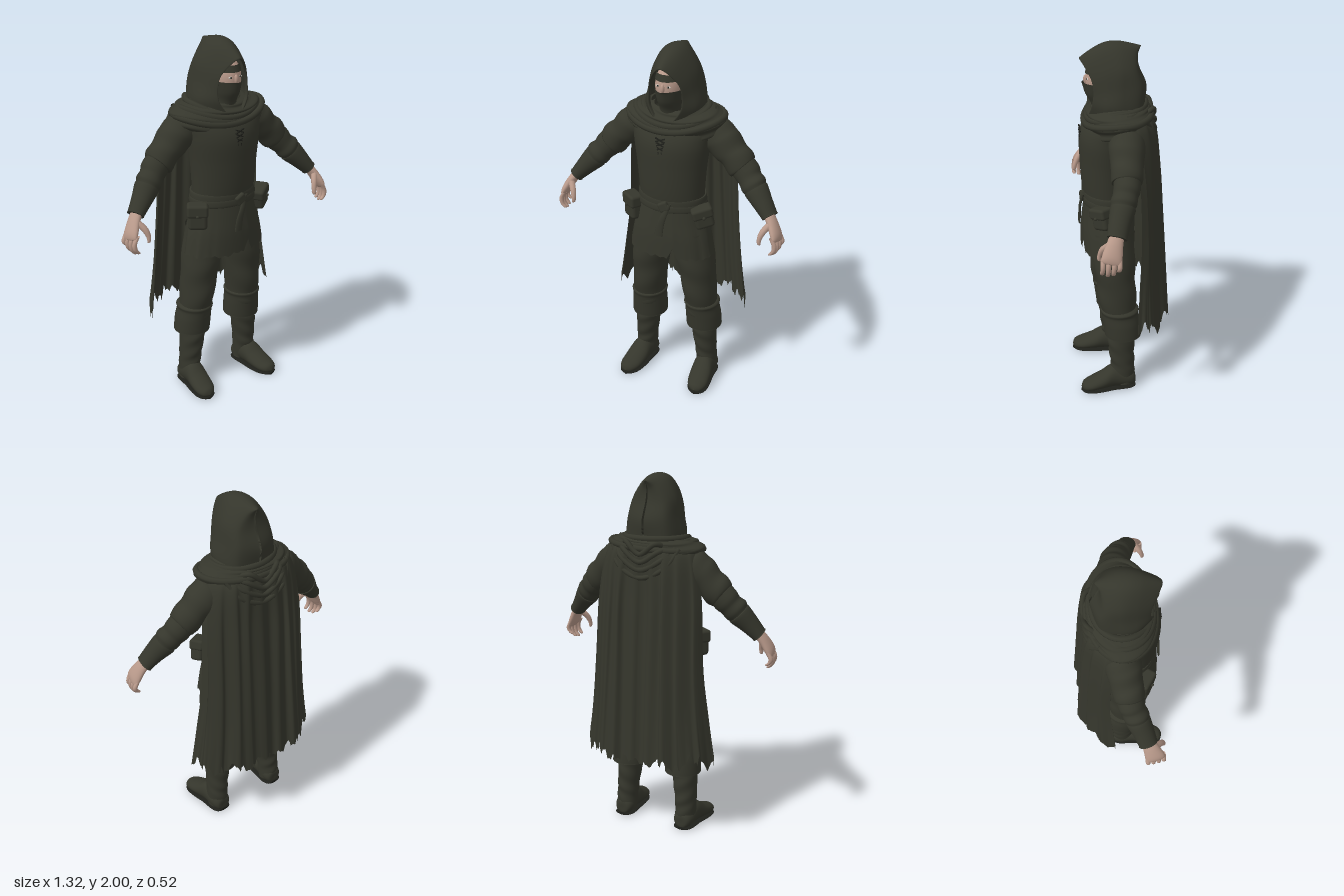
import * as THREE from 'three';
import { ParametricGeometry } from 'three/addons/geometries/ParametricGeometry.js';
import { RoundedBoxGeometry } from 'three/addons/geometries/RoundedBoxGeometry.js';

const material = (name, color) => {
  const m = new THREE.MeshStandardMaterial({ color, side: THREE.DoubleSide });
  m.name = name;
  return m;
};
const V = (x, y, z) => new THREE.Vector3(x, y, z);
const UP = V(0, 1, 0), FRONT = V(0, 0, 1);

// Smooth interpolation through rows of numbers
function spline(rows, t) {
  const n = rows.length - 1, s = Math.min(Math.max(t, 0), 1) * n;
  const i = Math.min(Math.floor(s), n - 1), f = s - i;
  const [a, b, c, d] = [-1, 0, 1, 2].map(k => rows[Math.min(Math.max(i + k, 0), n)]);
  return b.map((q, k) => q + 0.5 * f * (c[k] - a[k] + f * (2 * a[k] - 5 * q + 4 * c[k] - d[k]
    + f * (3 * (q - c[k]) + d[k] - a[k]))));
}

function add(parent, name, geometry, mat, x = 0, y = 0, z = 0) {
  const m = new THREE.Mesh(geometry, mat);
  m.name = name;
  m.position.set(x, y, z);
  parent.add(m);
  return m;
}

// Oval rings [x, y, z, r1, r2] joined into a skin; T is the ring axis
function loft(sections, { T = UP, ref = FRONT, along = false, mod = null, nu = 28, nv = 20 } = {}) {
  if (along) {
    const a = sections[0], b = sections[sections.length - 1];
    T = V(b[0] - a[0], b[1] - a[1], b[2] - a[2]).normalize();
  }
  const B = ref.clone().addScaledVector(T, -T.dot(ref)).normalize();
  const N = T.clone().cross(B);
  return new ParametricGeometry((u, v, p) => {
    const s = spline(sections, v), a = u * Math.PI * 2 + Math.PI;
    p.set(s[0], s[1], s[2])
      .addScaledVector(N, Math.max(s[3], 0.001) * Math.sin(a))
      .addScaledVector(B, Math.max(s[4], 0.001) * Math.cos(a));
    if (mod) mod(p, a, v);
  }, nu, nv);
}

// Mirrored sheet from rows of [x, y, z] points running from the middle to the +x edge
function sheet(rows, nu, nv, mod) {
  const full = rows.map(r => [...r.slice(1).reverse(), ...r.map(([x, y, z]) => [-x, y, z])]);
  const width = full[0].length;
  return new ParametricGeometry((u, v, p) => {
    const cols = [];
    const flat = spline(full.map(r => r.flat()), v);
    for (let i = 0; i < width; i++) cols.push(flat.slice(i * 3, i * 3 + 3));
    p.set(...spline(cols, u));
    if (mod) mod(p, u, v);
  }, nu, nv);
}

const jag = t => 0.5 * Math.abs(Math.sin(t * 47)) ** 3 + 0.3 * Math.abs(Math.sin(t * 113 + 1)) + 0.2 * Math.sin(t * 31);

export function createModel() {
  const cloth = material('dark cloth', 0x35362c);
  const skin = material('skin', 0xb8998a);
  const dark = material('dark trim', 0x1f201b);
  const white = material('eye white', 0xd0c8c0);
  const model = new THREE.Group();
  model.name = 'hoodedFigure';

  // Head, mask, brow band and eyes
  const head = new THREE.Group();
  head.name = 'head';
  model.add(head);
  add(head, 'face', new THREE.SphereGeometry(1, 28, 20), skin, 0, 1.8, 0.09).scale.set(0.075, 0.115, 0.095);
  add(head, 'nose', new THREE.SphereGeometry(1, 12, 8), skin, 0, 1.805, 0.183).scale.set(0.011, 0.025, 0.012);
  add(head, 'mask', loft([[0, 1.58, 0.06, 0.075, 0.08], [0, 1.67, 0.075, 0.06, 0.08], [0, 1.73, 0.088, 0.068, 0.094],
    [0, 1.79, 0.09, 0.079, 0.101]], { mod: (p, a, v) => {
      p.z += 0.014 * Math.max(0, Math.cos(a)) ** 12 * v ** 3;
    } }), cloth);
  add(head, 'browBand', loft([[0, 1.84, 0.09, 0.074, 0.095], [0, 1.875, 0.088, 0.068, 0.085]], { nv: 2 }), cloth);
  for (const s of [-1, 1]) {
    add(head, 'eye', new THREE.SphereGeometry(1, 12, 8), white, s * 0.029, 1.815, 0.176).scale.set(0.014, 0.006, 0.004);
    add(head, 'pupil', new THREE.SphereGeometry(1, 8, 6), dark, s * 0.029, 1.815, 0.179).scale.set(0.005, 0.005, 0.003);
  }

  // Peaked hood, from the back seam to the face opening
  add(model, 'hood', sheet([
    [[0, 1.972, -0.105], [0.004, 1.92, -0.088], [0.005, 1.86, -0.098], [0.006, 1.77, -0.135], [0.006, 1.69, -0.132], [0.006, 1.62, -0.12]],
    [[0, 1.975, -0.095], [0.045, 1.945, -0.075], [0.09, 1.87, -0.075], [0.11, 1.78, -0.095], [0.12, 1.69, -0.095], [0.12, 1.62, -0.09]],
    [[0, 2.0, 0.02], [0.06, 1.972, 0.01], [0.117, 1.88, 0], [0.138, 1.78, 0], [0.155, 1.69, 0], [0.15, 1.62, 0]],
    [[0, 1.985, 0.11], [0.055, 1.96, 0.1], [0.108, 1.87, 0.08], [0.13, 1.77, 0.08], [0.147, 1.69, 0.085], [0.125, 1.62, 0.1]],
    [[0, 1.925, 0.21], [0.045, 1.895, 0.19], [0.085, 1.83, 0.16], [0.098, 1.76, 0.152], [0.095, 1.69, 0.16], [0.05, 1.62, 0.175]],
    [[0, 1.912, 0.2], [0.04, 1.882, 0.18], [0.078, 1.825, 0.148], [0.088, 1.76, 0.14], [0.084, 1.69, 0.145], [0.04, 1.62, 0.16]]
  ], 48, 40), cloth);

  // Draped cowl with extra rolled folds
  const cowl = new THREE.Group();
  cowl.name = 'cowl';
  model.add(cowl);
  add(cowl, 'cowlDrape', loft([[0, 1.55, 0.015, 0.255, 0.165], [0, 1.6, 0.015, 0.28, 0.178], [0, 1.645, 0.015, 0.255, 0.17],
    [0, 1.67, 0.015, 0.19, 0.15], [0, 1.69, 0.015, 0.13, 0.125]], { nu: 64, nv: 36, mod: (p, a, v) => {
      const k = 1 + 0.03 * Math.sin(v * 22 + 1.3 * Math.sin(a * 2 + 0.6));
      p.x *= k;
      p.z *= k;
      p.y -= 0.035 * Math.max(0, Math.cos(a)) ** 2 * (1 - v * 0.4);
    } }), cloth);
  for (let i = 0; i < 3; i++) {
    const roll = [];
    for (let j = 0; j < 24; j++) {
      const a = j / 24 * Math.PI * 2, c = Math.cos(a);
      roll.push(V((0.265 - i * 0.045) * Math.sin(a), 1.622 + i * 0.022 - 0.05 * (c > 0 ? c * c : 0) + 0.008 * Math.sin(a + i * 2),
        0.018 + (0.175 - i * 0.014) * c));
    }
    add(cowl, 'cowlFold', new THREE.TubeGeometry(new THREE.CatmullRomCurve3(roll, true), 60, 0.018, 8, true), cloth);
  }

  // Torn cape, listed from hem to collar
  const flat = (y, pts) => pts.map(([x, z]) => [x, y, z]);
  const capeFold = (u, v) => 0.011 * Math.sin((u - 0.5) * 58) * Math.min(1, (1 - v) * 2.2);
  add(model, 'cape', sheet([
    flat(0.43, [[0, -0.235], [0.1, -0.237], [0.19, -0.245], [0.27, -0.19], [0.36, -0.13], [0.4, -0.04]]),
    flat(0.72, [[0, -0.22], [0.1, -0.22], [0.18, -0.228], [0.25, -0.18], [0.33, -0.125], [0.365, -0.055]]),
    flat(1.0, [[0, -0.205], [0.1, -0.205], [0.17, -0.21], [0.24, -0.17], [0.31, -0.12], [0.335, -0.07]]),
    flat(1.35, [[0, -0.18], [0.1, -0.185], [0.16, -0.185], [0.23, -0.15], [0.295, -0.1], [0.315, -0.06]]),
    flat(1.58, [[0, -0.165], [0.08, -0.167], [0.15, -0.157], [0.21, -0.125], [0.26, -0.075], [0.275, -0.025]]),
    flat(1.67, [[0, -0.12], [0.06, -0.12], [0.11, -0.1], [0.16, -0.07], [0.2, -0.03], [0.21, 0]])
  ], 140, 40, (p, u, v) => {
    const f = capeFold(u, v);
    p.z += f;
    p.x += f * 0.4 * Math.sign(0.5 - u);
    p.y += 0.12 * jag(u) * Math.max(0, 1 - v * 2.5) ** 2 * (0.4 + 0.6 * Math.abs(u - 0.5) * 2);
  }), cloth);
  // Swagged folds across the upper back
  for (let i = 0; i < 4; i++) {
    const w = 0.2 - i * 0.025, drop = 1.47 + i * 0.042;
    const swag = new THREE.CatmullRomCurve3([V(w, 1.63, -0.1), V(w * 0.7, drop + 0.06, -0.158), V(0, drop, -0.172),
      V(-w * 0.7, drop + 0.06, -0.158), V(-w, 1.63, -0.1)]);
    add(model, 'capeSwag', new THREE.TubeGeometry(swag, 28, 0.014, 8), cloth);
  }

  // Tunic body and ragged skirt
  add(model, 'tunic', loft([[0, 1.1, 0.065, 0.178, 0.128], [0, 1.2, 0.073, 0.183, 0.138], [0, 1.35, 0.075, 0.195, 0.145],
    [0, 1.5, 0.07, 0.215, 0.15], [0, 1.6, 0.035, 0.225, 0.14], [0, 1.67, 0.02, 0.12, 0.1]], { nu: 40 }), cloth);
  add(model, 'tunicSkirt', loft([[0, 0.83, 0.075, 0.245, 0.147], [0, 0.95, 0.072, 0.225, 0.148], [0, 1.05, 0.068, 0.2, 0.142],
    [0, 1.16, 0.065, 0.18, 0.13]], { nu: 90, mod: (p, a, v) => {
      const f = 1 + 0.02 * Math.sin(a * 11) * (1 - v);
      p.x *= f;
      const slit = Math.max(0, 1 - Math.abs(p.x - 0.065) / 0.03) * (p.z > 0.1 ? 0.07 : 0);
      p.y += (slit + 0.022 * jag(a * 0.3)) * (1 - v) ** 3;
    } }), cloth);

  // Chest lacing
  for (let i = 0; i < 4; i++) for (const s of [-1, 1]) {
    const lace = add(model, 'lace', new THREE.BoxGeometry(0.055 - i * 0.01, 0.006, 0.008), dark, 0, 1.535 - i * 0.024, 0.219);
    lace.rotation.z = s * 0.4;
  }

  // Belt, knot, hanging strap and pouches
  const belt = new THREE.Group();
  belt.name = 'belt';
  model.add(belt);
  for (const [y, r] of [[1.135, 0.007], [1.165, 0.004]]) {
    add(belt, 'beltBand', loft([[0, y - 0.02, 0.066, 0.184, 0.134], [0, y - 0.018, 0.066, 0.189 + r, 0.14 + r],
      [0, y + 0.018, 0.066, 0.187 + r, 0.138 + r], [0, y + 0.02, 0.066, 0.182, 0.132]], { nu: 40, nv: 9 }), cloth);
  }
  add(belt, 'knot', new RoundedBoxGeometry(0.06, 0.055, 0.03, 3, 0.012), cloth, 0.015, 1.15, 0.212).rotation.z = 0.5;
  add(belt, 'strap', loft([[0.045, 1.17, 0.212, 0.014, 0.008], [0.02, 1.1, 0.225, 0.018, 0.007], [0, 1.04, 0.227, 0.022, 0.007],
    [-0.01, 0.975, 0.228, 0.024, 0.006]], { nu: 12 }), cloth);
  for (const [s, y, h, tilt] of [[-1, 1.075, 0.14, 0], [1, 1.095, 0.12, 0.25]]) {
    const pouch = new THREE.Group();
    pouch.name = 'pouch';
    pouch.position.set(s * 0.208, y, 0.13);
    pouch.rotation.set(0, s * 0.6, tilt);
    belt.add(pouch);
    add(pouch, 'pouchBag', new RoundedBoxGeometry(0.105, h, 0.07, 3, 0.02), cloth);
    add(pouch, 'pouchFlap', new RoundedBoxGeometry(0.115, h * 0.5, 0.08, 3, 0.015), cloth, 0, h * 0.27, 0.003);
    add(pouch, 'pouchButton', new THREE.SphereGeometry(0.009, 10, 8), cloth, 0, h * 0.1, 0.045);
  }

  // Limbs, built on the left and mirrored
  for (const s of [1, -1]) {
    const arm = new THREE.Group(), leg = new THREE.Group();
    arm.name = s > 0 ? 'leftArm' : 'rightArm';
    leg.name = s > 0 ? 'leftLeg' : 'rightLeg';
    arm.scale.x = leg.scale.x = s;
    model.add(arm, leg);

    add(arm, 'sleeve', loft([[0.18, 1.55, 0, 0.09, 0.09], [0.25, 1.51, 0.005, 0.098, 0.095], [0.32, 1.45, 0.015, 0.084, 0.085],
      [0.385, 1.385, 0.025, 0.083, 0.08], [0.387, 1.383, 0.025, 0.06, 0.06]], { along: true, mod: (p, a, v) => {
        p.y += 0.005 * Math.sin(v * 24 + a);
      } }), cloth);
    add(arm, 'forearmSleeve', loft([[0.35, 1.42, 0.02, 0.07, 0.07], [0.41, 1.36, 0.03, 0.073, 0.07], [0.435, 1.33, 0.042, 0.065, 0.065],
      [0.46, 1.305, 0.054, 0.071, 0.068], [0.48, 1.28, 0.064, 0.06, 0.06], [0.53, 1.225, 0.088, 0.048, 0.053]], { along: true }), cloth);
    add(arm, 'bracer', loft([[0.475, 1.285, 0.06, 0.05, 0.05], [0.476, 1.284, 0.06, 0.066, 0.065], [0.525, 1.23, 0.085, 0.053, 0.057],
      [0.57, 1.178, 0.104, 0.041, 0.051], [0.577, 1.17, 0.106, 0.041, 0.051], [0.577, 1.17, 0.106, 0.025, 0.03]], { along: true }), cloth);
    add(arm, 'palm', loft([[0.565, 1.185, 0.103, 0.026, 0.036], [0.598, 1.14, 0.122, 0.025, 0.043], [0.625, 1.09, 0.138, 0.023, 0.052],
      [0.637, 1.06, 0.143, 0.014, 0.048], [0.638, 1.055, 0.143, 0.001, 0.001]], { along: true }), skin);
    for (let i = 0; i < 4; i++) {
      const z = 0.1 + i * 0.028, len = [0.06, 0.08, 0.085, 0.075][i], x = 0.636 - i * 0.004;
      add(arm, 'finger', loft([[x - 0.008, 1.085, z, 0.013, 0.013], [x + 0.01, 1.05, z + 0.002, 0.013, 0.013],
        [x + 0.008, 1.07 - len * 0.7, z + 0.004, 0.012, 0.012], [x - 0.01, 1.07 - len, z + 0.004, 0.01, 0.01],
        [x - 0.012, 1.065 - len, z + 0.004, 0.001, 0.001]], { along: true, nu: 10, nv: 12 }), skin);
    }
    add(arm, 'thumb', loft([[0.59, 1.145, 0.145, 0.018, 0.018], [0.565, 1.11, 0.175, 0.017, 0.016], [0.553, 1.075, 0.19, 0.013, 0.013],
      [0.552, 1.045, 0.195, 0.01, 0.01], [0.552, 1.04, 0.195, 0.001, 0.001]], { along: true, nu: 10, nv: 12 }), skin);

    add(leg, 'trouserLeg', loft([[0.165, 0.42, 0.03, 0.085, 0.09], [0.162, 0.5, 0.035, 0.09, 0.1], [0.15, 0.65, 0.047, 0.098, 0.108],
      [0.135, 0.8, 0.054, 0.106, 0.113], [0.115, 0.98, 0.06, 0.1, 0.12]], { mod: (p, a, v) => {
        p.z += 0.004 * Math.sin(v * 20 + a);
      } }), cloth);
    add(leg, 'bootCuff', loft([[0.173, 0.36, 0.015, 0.065, 0.065], [0.173, 0.342, 0.013, 0.097, 0.1], [0.173, 0.347, 0.013, 0.101, 0.103],
      [0.17, 0.42, 0.02, 0.1, 0.105], [0.166, 0.475, 0.028, 0.095, 0.104], [0.165, 0.5, 0.03, 0.101, 0.108],
      [0.165, 0.515, 0.03, 0.08, 0.09]], { nv: 30 }), cloth);
    add(leg, 'bootShaft', loft([[0.194, 0.03, 0.008, 0.058, 0.058], [0.192, 0.12, 0.015, 0.06, 0.066], [0.188, 0.2, 0.02, 0.062, 0.07],
      [0.18, 0.3, 0.025, 0.07, 0.076], [0.175, 0.38, 0.025, 0.075, 0.078]], { mod: (p, a, v) => {
        p.z += 0.003 * Math.sin(v * 26 + a * 2);
      } }), cloth);
    const foot = [[0.194, 0.045, -0.054, 0.001, 0.001], [0.194, 0.05, -0.05, 0.04, 0.04], [0.195, 0.06, -0.01, 0.058, 0.058],
      [0.2, 0.075, 0.07, 0.058, 0.07], [0.208, 0.055, 0.14, 0.062, 0.048], [0.216, 0.04, 0.205, 0.057, 0.034],
      [0.22, 0.034, 0.245, 0.036, 0.024], [0.22, 0.03, 0.26, 0.001, 0.001]];
    add(leg, 'bootFoot', loft(foot, { T: FRONT, ref: UP, nv: 28, mod: p => { p.y = Math.max(p.y, 0.01); } }), cloth);
    add(leg, 'bootSole', loft(foot.map(([x, , z, r]) => [x, 0.008, z, r * 1.02, 0.008]), { T: FRONT, ref: UP, nv: 28 }), dark);
  }
  return model;
}
